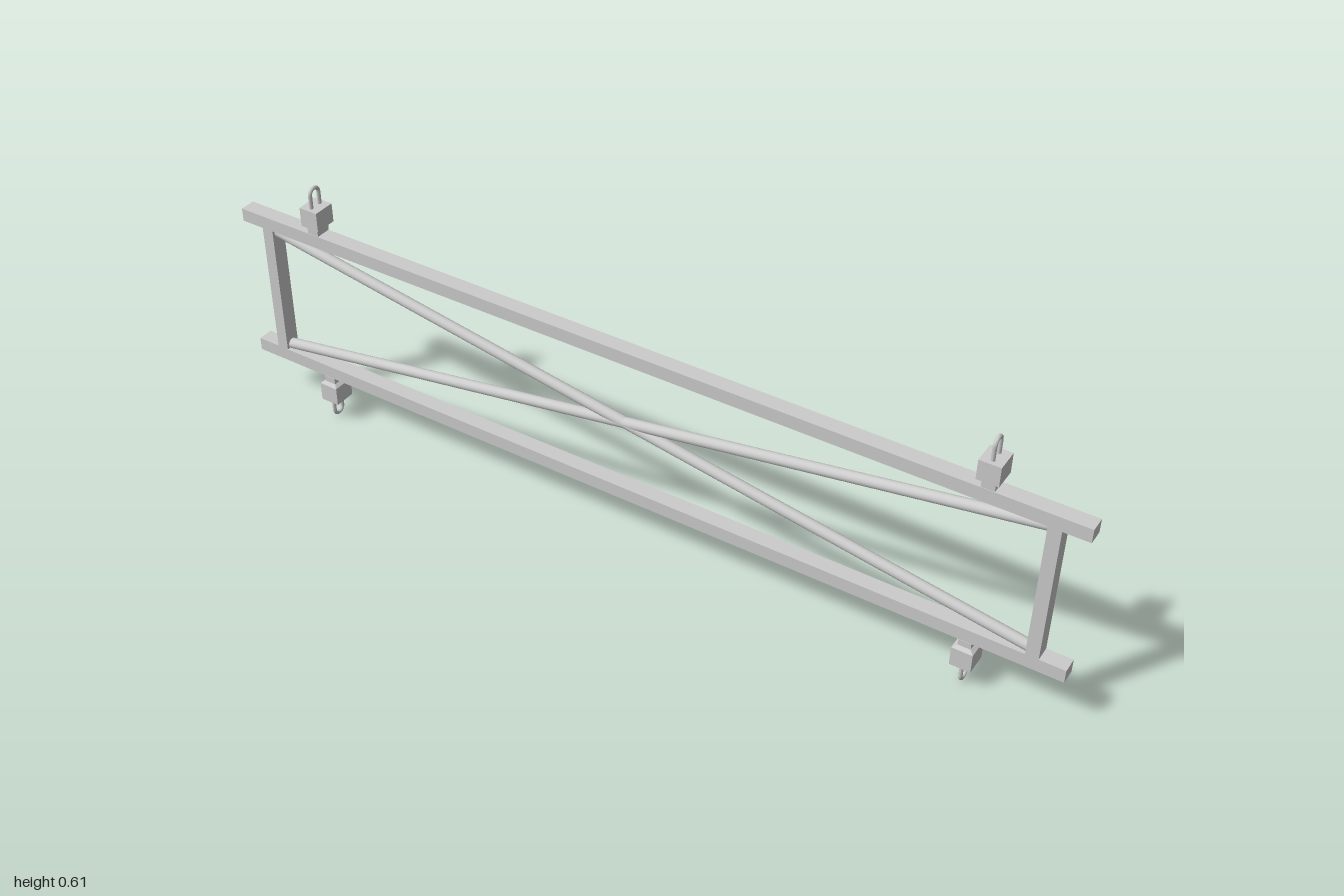
import * as THREE from 'three';

const material = new THREE.MeshStandardMaterial({ color: 0xcccccc });
const MID = 0.306; // height of the horizontal symmetry plane

function add(parent, name, geometry, x = 0, y = 0, z = 0) {
  const mesh = new THREE.Mesh(geometry, material);
  mesh.name = name;
  mesh.position.set(x, y, z);
  parent.add(mesh);
  return mesh;
}

// Rounded U-shaped loop standing in the YZ plane
function loopGeometry() {
  const w = 0.0135, base = 0.05, spring = 0.094;
  const path = new THREE.CurvePath();
  path.add(new THREE.LineCurve3(new THREE.Vector3(0, base, -w), new THREE.Vector3(0, spring, -w)));
  const arc = [];
  for (let i = 0; i <= 12; i++) {
    const a = Math.PI * i / 12;
    arc.push(new THREE.Vector3(0, spring + w * Math.sin(a), -w * Math.cos(a)));
  }
  path.add(new THREE.CatmullRomCurve3(arc));
  path.add(new THREE.LineCurve3(new THREE.Vector3(0, spring, w), new THREE.Vector3(0, base, w)));
  return new THREE.TubeGeometry(path, 40, 0.0045, 8);
}

// Connector: neck, tapered collar, block and loop, with its foot at y = 0
function connector(name) {
  const group = new THREE.Group();
  group.name = name;
  add(group, 'neck', new THREE.BoxGeometry(0.028, 0.016, 0.036), 0, 0.006);
  const collar = new THREE.BoxGeometry(0.046, 0.006, 0.052);
  const p = collar.attributes.position;
  for (let i = 0; i < p.count; i++) {
    if (p.getY(i) < 0) p.setXYZ(i, p.getX(i) * 0.62, p.getY(i), p.getZ(i) * 0.7);
  }
  collar.computeVertexNormals();
  add(group, 'collar', collar, 0, 0.015);
  add(group, 'block', new THREE.BoxGeometry(0.046, 0.045, 0.052), 0, 0.0405);
  add(group, 'loop', loopGeometry());
  return group;
}

export function createModel() {
  const model = new THREE.Group();
  model.name = 'bracedFrame';

  for (const s of [1, -1]) {
    const level = s > 0 ? 'upper' : 'lower';
    add(model, level + 'Rail', new THREE.BoxGeometry(2, 0.031, 0.036), 0, MID + s * 0.1755);
    add(model, s > 0 ? 'leftPost' : 'rightPost',
      new THREE.BoxGeometry(0.028, 0.33, 0.036), s * 0.93, MID);

    // Crossing diagonal brace
    const brace = add(model, s > 0 ? 'risingBrace' : 'fallingBrace',
      new THREE.CylinderGeometry(0.0125, 0.0125, 1.86, 16), 0, MID);
    brace.rotation.z = -Math.PI / 2 + s * Math.atan2(0.152, 0.918);

    for (const x of [0.795, -0.795]) {
      const unit = connector(level + (x > 0 ? 'Left' : 'Right') + 'Connector');
      unit.position.set(x, MID + s * 0.191 + s * 0.003, 0);
      if (s < 0) unit.rotation.z = Math.PI;
      model.add(unit);
    }
  }
  return model;
}
